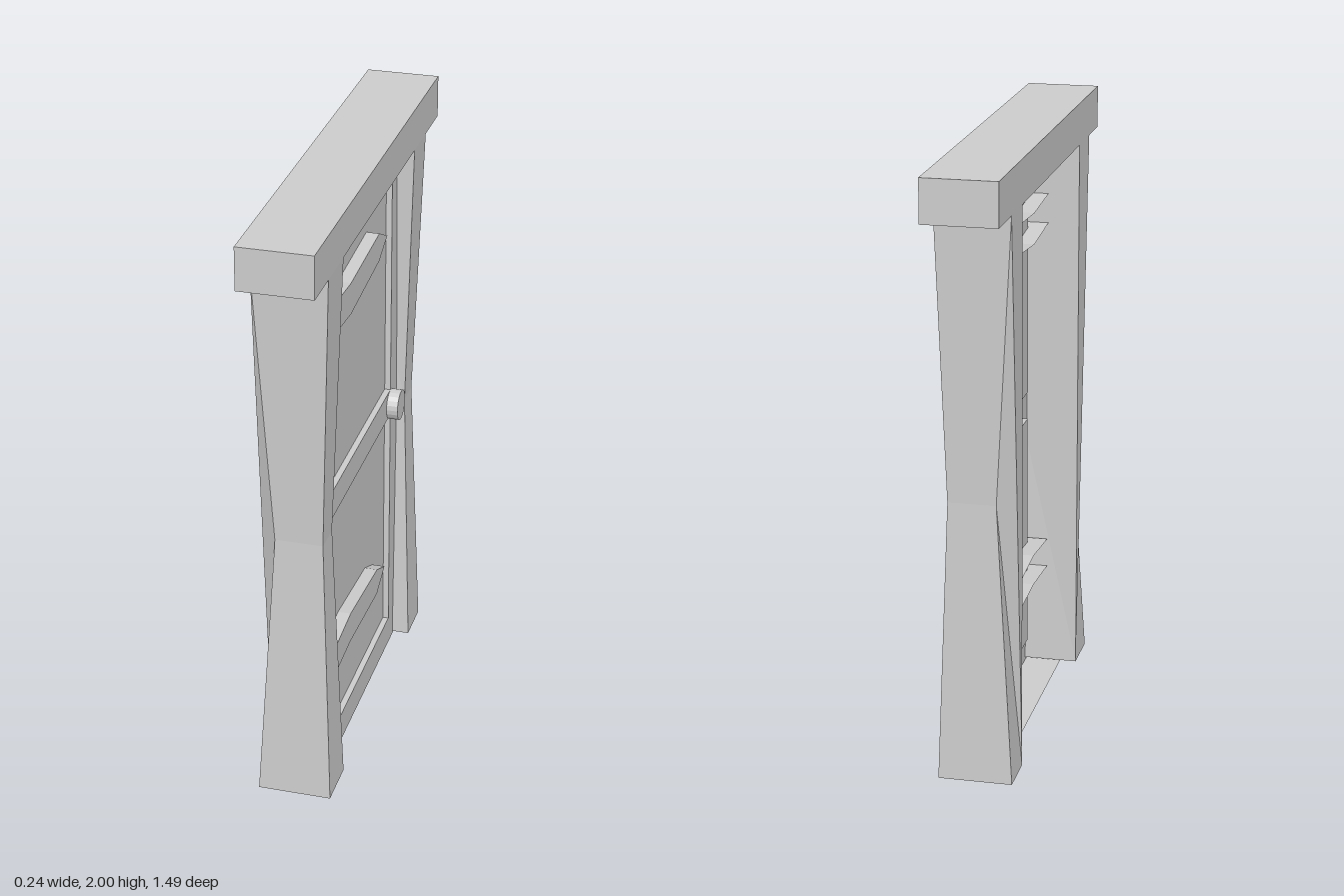
import * as THREE from 'three';

const mat = new THREE.MeshStandardMaterial({ color: 0xcccccc, flatShading: true, side: THREE.DoubleSide });

function part(parent, name, geometry) {
  const mesh = new THREE.Mesh(geometry, mat);
  mesh.name = name;
  parent.add(mesh);
  return mesh;
}

// Surface from triangles of [x, y, z] corners
function surface(tris) {
  const g = new THREE.BufferGeometry();
  g.setAttribute('position', new THREE.Float32BufferAttribute(tris.flat(2), 3));
  g.computeVertexNormals();
  return g;
}

const quad = (a, b, c, d) => [[a, b, c], [a, c, d]];

// Flat face at depth x, outlined by [z, y] points, facing +x
function face(points, x, holes = []) {
  const flat = (list) => list.map(([z, y]) => new THREE.Vector2(-z, y));
  const shape = new THREE.Shape(flat(points));
  holes.forEach((h) => shape.holes.push(new THREE.Path(flat(h))));
  return new THREE.ShapeGeometry(shape).rotateY(Math.PI / 2).translate(x, 0, 0);
}

// Walls along a [z, y] outline between two depths
function walls(points, back, front, closed = true) {
  const tris = [];
  const n = closed ? points.length : points.length - 1;
  for (let i = 0; i < n; i++) {
    const [z1, y1] = points[i];
    const [z2, y2] = points[(i + 1) % points.length];
    tris.push(...quad([front, y1, z1], [back, y1, z1], [back, y2, z2], [front, y2, z2]));
  }
  return surface(tris);
}

// Outline running clockwise as seen from +x
const rect = (z1, z2, y1, y2) => [[z1, y1], [z1, y2], [z2, y2], [z2, y1]];

// Post pinched at the waist; its inner back edge stays straight
function jamb(side, outer, outerWaist, inner, innerWaist) {
  const low = 0.01, mid = 0.935, top = 1.86;
  const end = (y) => ({
    outFront: [0.12, y, side * outer], inFront: [0.12, y, side * inner],
    inBack: [-0.12, y, side * inner], outBack: [-0.12, y, side * outer],
  });
  const b = end(low), t = end(top);
  const outFront = [0.09, mid, side * outerWaist];
  const inFront = [0.09, mid, side * innerWaist];
  const outBack = [-0.065, mid, side * outerWaist];
  const tris = [
    // front
    ...quad(b.outFront, b.inFront, inFront, outFront),
    ...quad(outFront, inFront, t.inFront, t.outFront),
    // outer side
    ...quad(b.outBack, b.outFront, outFront, outBack),
    ...quad(outBack, outFront, t.outFront, t.outBack),
    // inner side
    [b.inFront, b.inBack, inFront],
    [inFront, b.inBack, t.inBack],
    [inFront, t.inBack, t.inFront],
    // folded back
    [b.inBack, b.outBack, outBack],
    [b.inBack, outBack, t.outBack],
    [b.inBack, t.outBack, t.inBack],
  ];
  return surface(side > 0 ? tris : tris.map(([p, q, r]) => [p, r, q]));
}

export function createModel() {
  const model = new THREE.Group();
  model.name = 'doorway';

  // Lintel and posts
  part(model, 'lintel', new THREE.BoxGeometry(0.24, 0.14, 1.49)).position.y = 1.93;
  part(model, 'leftPost', jamb(1, 0.6, 0.565, 0.435, 0.462));
  part(model, 'rightPost', jamb(-1, 0.58, 0.552, 0.43, 0.456));

  // Door shell, open at the back, with two sunken panels
  const door = new THREE.Group();
  door.name = 'door';
  model.add(door);
  const outline = rect(0.48, -0.465, 0, 1.87);
  const panels = [rect(0.38, -0.37, 1.01, 1.82), rect(0.38, -0.37, 0.1, 0.915)];
  part(door, 'doorFace', face(outline, 0.062, panels));
  part(door, 'doorEdge', walls(outline, -0.06, 0.062));
  for (const p of panels) {
    part(door, 'panel', face(p, 0.042));
    part(door, 'panelRim', walls([...p].reverse(), 0.042, 0.062));
  }

  // Hinge straps, the lower one mirrored; hollow behind
  const strap = [[0.44, 1.59], [0.22, 1.57], [-0.12, 1.6], [-0.22, 1.645], [-0.12, 1.695], [0.22, 1.675], [0.44, 1.69]];
  const lower = strap.map(([z, y]) => [z, 2.05 - y]);
  for (const s of [strap, lower]) {
    const hinge = new THREE.Group();
    hinge.name = 'hingeStrap';
    door.add(hinge);
    part(hinge, 'strapFace', face(s, 0.085));
    const edge = s === strap ? [...s].reverse() : s;
    part(hinge, 'strapEdge', walls(edge, -0.015, 0.085, false));
  }

  // Knob
  const knob = part(door, 'knob', new THREE.CylinderGeometry(0.052, 0.052, 0.05, 20));
  knob.rotation.z = -Math.PI / 2;
  knob.position.set(0.075, 0.958, -0.37);

  return model;
}
